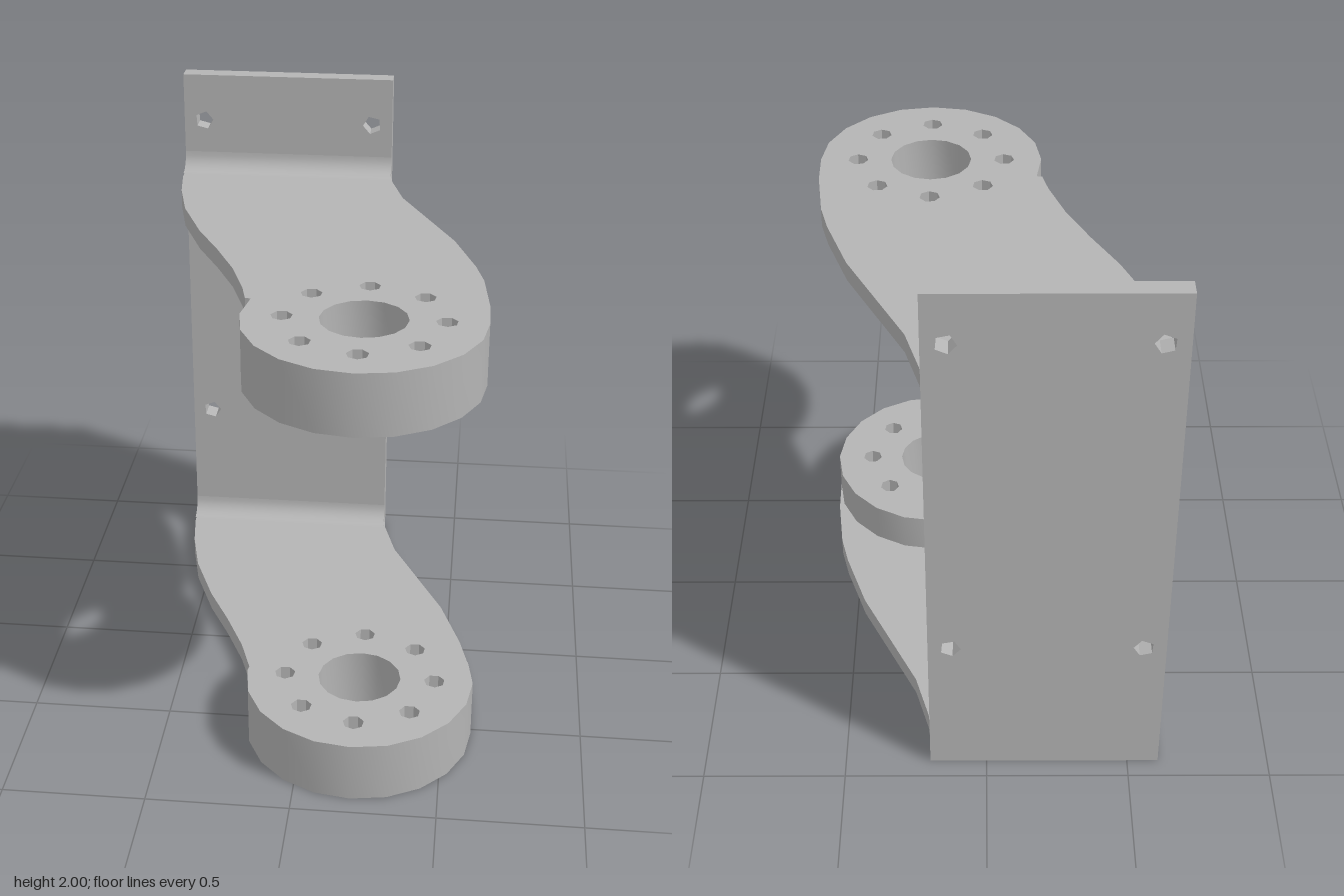
import * as THREE from 'three';
import { toCreasedNormals } from 'three/addons/utils/BufferGeometryUtils.js';

const metal = new THREE.MeshStandardMaterial({ color: 0xb4b4b4 });
metal.name = 'grey metal';

const HUB = { x: 0.2, z: 0.523, r: 0.405, sides: 20 };
const THICK = 0.07;
const v = (x, y) => new THREE.Vector2(x, y);

// Regular polygon points around a centre
function ring(cx, cy, r, sides, turn = 0) {
  return Array.from({ length: sides }, (_, i) => {
    const a = turn + (i / sides) * Math.PI * 2;
    return v(cx + r * Math.cos(a), cy + r * Math.sin(a));
  });
}

function extrude(shape, depth) {
  return new THREE.ExtrudeGeometry(shape, { depth, bevelEnabled: false });
}

function mesh(name, geometry) {
  const m = new THREE.Mesh(toCreasedNormals(geometry, 0.6), metal);
  m.name = name;
  return m;
}

// Flat outline in x and -z, raised to a height
function slab(name, shape, depth, y) {
  const g = extrude(shape, depth);
  g.rotateX(-Math.PI / 2);
  g.translate(0, y, 0);
  return mesh(name, g);
}

// Thick round flange with a bore and eight bolt holes
function hub(name, y) {
  const shape = new THREE.Shape(ring(HUB.x, -HUB.z, HUB.r, HUB.sides));
  shape.holes.push(new THREE.Path(ring(HUB.x, -HUB.z, 0.147, 16)));
  for (const c of ring(HUB.x, -HUB.z, 0.268, 8)) {
    shape.holes.push(new THREE.Path(ring(c.x, c.y, 0.037, 7, 0.3)));
  }
  return slab(name, shape, 0.22, y);
}

// S-curved arm that stops against the back of the hub
function arm(name, y) {
  const leftEdge = [[0.2, -0.87], [0.208, -0.78], [0.26, -0.6], [0.37, -0.38], [0.47, -0.18],
    [0.55, 0.05], [0.58, 0.17], [0.603, 0.38]];
  const rightEdge = [[-0.205, 0.395], [-0.225, 0.31], [-0.28, 0.15], [-0.36, -0.02], [-0.45, -0.19],
    [-0.54, -0.41], [-0.585, -0.6], [-0.605, -0.75], [-0.61, -0.87]];
  const back = ring(HUB.x, -HUB.z, HUB.r, HUB.sides).slice(0, HUB.sides / 2);
  const toShape = ([x, z]) => v(x, -z);
  const points = [...leftEdge.map(toShape), ...back, ...rightEdge.map(toShape)];
  return slab(name, new THREE.Shape(points), THICK, y);
}

// Depth of the slightly tapered plate's front face
const plateFront = (y) => -0.865 + 0.01 * (2 - y);

// Upright mounting plate with four screw holes
function mountingPlate() {
  const shape = new THREE.Shape([v(-0.61, 0), v(0.2, 0), v(0.2, 2), v(-0.61, 2)]);
  for (const x of [-0.533, 0.123]) {
    for (const y of [0.56, 1.82]) {
      shape.holes.push(new THREE.Path(ring(x, y, 0.036, 5, 0.6 + x)));
    }
  }
  const g = extrude(shape, 1);
  const p = g.attributes.position;
  for (let i = 0; i < p.count; i++) {
    p.setZ(i, p.getZ(i) > 0.5 ? plateFront(p.getY(i)) : -0.93);
  }
  g.computeVertexNormals();
  return mesh('mountingPlate', g);
}

// Concave fillet between plate and arm; side is +1 above the arm, -1 below
function fillet(name, y, side) {
  const r = 0.068;
  const z = plateFront(y);
  const points = [v(z, y)];
  for (let i = 0; i <= 6; i++) {
    const a = (i / 6) * Math.PI / 2;
    points.push(v(z + r * (1 - Math.sin(a)), y + side * r * (1 - Math.cos(a))));
  }
  const g = extrude(new THREE.Shape(points), 0.81);
  g.rotateY(-Math.PI / 2);
  g.translate(0.2, 0, 0);
  return mesh(name, g);
}

export function createModel() {
  const model = new THREE.Group();
  model.name = 'hingeBracket';
  model.add(
    mountingPlate(),
    arm('upperArm', 1.555),
    hub('upperHub', 1.405),
    fillet('upperArmTopFillet', 1.625, 1),
    fillet('upperArmBottomFillet', 1.555, -1),
    arm('lowerArm', 0),
    hub('lowerHub', 0),
    fillet('lowerArmFillet', THICK, 1),
  );
  return model;
}
